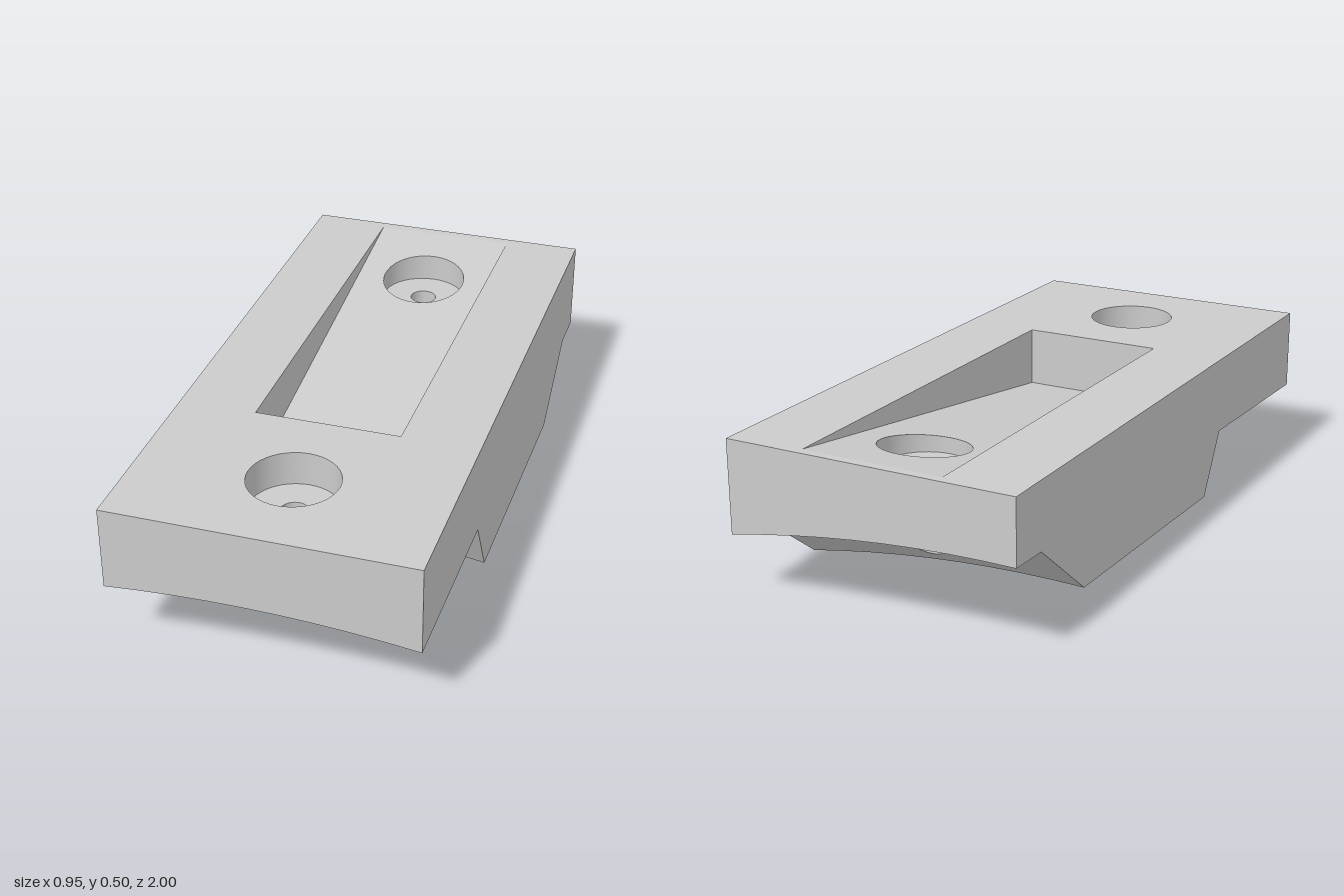
import * as THREE from 'three';
import { mergeGeometries, toCreasedNormals } from 'three/addons/utils/BufferGeometryUtils.js';

const W = 0.475, TOP = 0.5, L = 1;               // half width, top height, half length
const PW = 0.23, PF = 0.38, PB = -0.97, PD = 0.19; // pocket: half width, front, back, depth
const HOLE_Z = 0.69, SINK_R = 0.14, BORE_R = 0.043, SINK_Y = 0.39;
const STRIPS = 9, ROUND = 40;

// crest height of the underside along z
const crest = [[1, 0.254], [0.38, 0.262], [0.27, 0.064], [-0.6, 0.08], [-0.86, 0.29], [-1, 0.295]];

// underside: a shallow arch whose crest drifts sideways along the length
function underside(x, z) {
  let i = 0;
  while (i < crest.length - 2 && z < crest[i + 1][0]) i++;
  const [z0, y0] = crest[i], [z1, y1] = crest[i + 1];
  const y = y0 + (y1 - y0) * (z - z0) / (z1 - z0);
  return y - 0.12 * (x + 0.24 - 0.17 * z) ** 2;
}
const pocketFloor = (x, z) => TOP - PD * (z - PB) / (PF - PB);

const rect = (u0, u1, v0, v1) => [[u0, v0], [u1, v0], [u1, v1], [u0, v1]];
const circle = (u, v, r) => Array.from({ length: ROUND }, (_, i) => {
  const a = i / ROUND * Math.PI * 2;
  return [u + r * Math.cos(a), v + r * Math.sin(a)];
});

// flat outline with holes, carried into space by map(u, v)
function patch(outline, holes, map) {
  const toVec = (pts) => pts.map(([u, v]) => new THREE.Vector2(u, v));
  const shape = new THREE.Shape(toVec(outline));
  for (const h of holes) shape.holes.push(new THREE.Path(toVec(h)));
  const g = new THREE.ShapeGeometry(shape);
  const p = g.attributes.position;
  for (let i = 0; i < p.count; i++) p.setXYZ(i, ...map(p.getX(i), p.getY(i)));
  g.computeVertexNormals();
  return g;
}

// inward facing tube between two height rules
function tube(z, r, topY, bottomY) {
  const g = new THREE.CylinderGeometry(r, r, 1, ROUND, 1, true);
  g.rotateY(Math.PI / 2);
  g.scale(-1, 1, 1);
  const p = g.attributes.position;
  for (let i = 0; i < p.count; i++) {
    const x = p.getX(i), pz = p.getZ(i) + z;
    p.setXYZ(i, x, (p.getY(i) > 0 ? topY : bottomY)(x, pz), pz);
  }
  return toCreasedNormals(g, 0.6);
}

export function createModel() {
  const group = new THREE.Group();
  const material = new THREE.MeshStandardMaterial({ color: 0xcccccc });
  const add = (name, geometry) => {
    const mesh = new THREE.Mesh(geometry, material);
    mesh.name = name;
    group.add(mesh);
  };
  const xs = Array.from({ length: STRIPS + 1 }, (_, i) => -W + 2 * W * i / STRIPS);

  // top face with openings for the pocket and the front screw hole
  add('topFace', patch(rect(-W, W, -L, L),
    [rect(-PW, PW, -PF, -PB), circle(0, -HOLE_Z, SINK_R)], (u, v) => [u, TOP, -v]));

  // sloping pocket
  add('pocketFloor', patch(rect(-PW, PW, -PF, -PB), [circle(0, HOLE_Z, SINK_R)],
    (u, v) => [u, pocketFloor(u, -v), -v]));
  add('pocketEndWall', patch(rect(-PW, PW, TOP - PD, TOP), [], (u, v) => [-u, v, PF]));

  // long sides of the block and of the pocket
  for (const s of [1, -1]) {
    const side = s > 0 ? 'left' : 'right';
    const profile = [[-s * L, TOP], [s * L, TOP]];
    const low = crest.map(([z]) => [-s * z, underside(s * W, z)]);
    if (s > 0) low.reverse();
    // low runs from the end of the top edge back to its start
    add(side + 'Side', patch([...profile, ...(s > 0 ? low : low.reverse())], [],
      (u, v) => [s * W, v, -s * u]));
    add(side + 'PocketWall', patch([[s * PF, TOP - PD], [s * PF, TOP], [s * PB, TOP]], [],
      (u, v) => [s * PW, v, s * u]));
  }

  // end faces with an arched lower edge
  for (const s of [1, -1]) {
    const low = xs.map((x) => [s * x, underside(x, s * L)]);
    add(s > 0 ? 'frontFace' : 'backFace', patch([...low, [s * W, TOP], [-s * W, TOP]], [],
      (u, v) => [s * u, v, s * L]));
  }

  // arched underside in lengthwise strips, the middle one pierced by the bores
  const strips = [];
  for (let j = 0; j < crest.length - 1; j++) {
    const z0 = crest[j + 1][0], z1 = crest[j][0];
    for (let i = 0; i < STRIPS; i++) {
      const holes = i === (STRIPS - 1) / 2
        ? [HOLE_Z, -HOLE_Z].filter((z) => z > z0 && z < z1).map((z) => circle(0, z, BORE_R)) : [];
      strips.push(patch(rect(xs[i], xs[i + 1], z0, z1), holes, (u, v) => [u, underside(u, v), v]));
    }
  }
  add('underside', toCreasedNormals(mergeGeometries(strips), 0.4));

  // counterbored screw holes
  for (const s of [1, -1]) {
    const z = s * HOLE_Z, name = s > 0 ? 'front' : 'back';
    const seat = () => SINK_Y;
    add(name + 'CounterboreWall', tube(z, SINK_R, s > 0 ? () => TOP : pocketFloor, seat));
    add(name + 'CounterboreSeat', patch(circle(0, -z, SINK_R), [circle(0, -z, BORE_R)],
      (u, v) => [u, SINK_Y, -v]));
    add(name + 'ScrewBore', tube(z, BORE_R, seat, underside));
  }
  return group;
}
